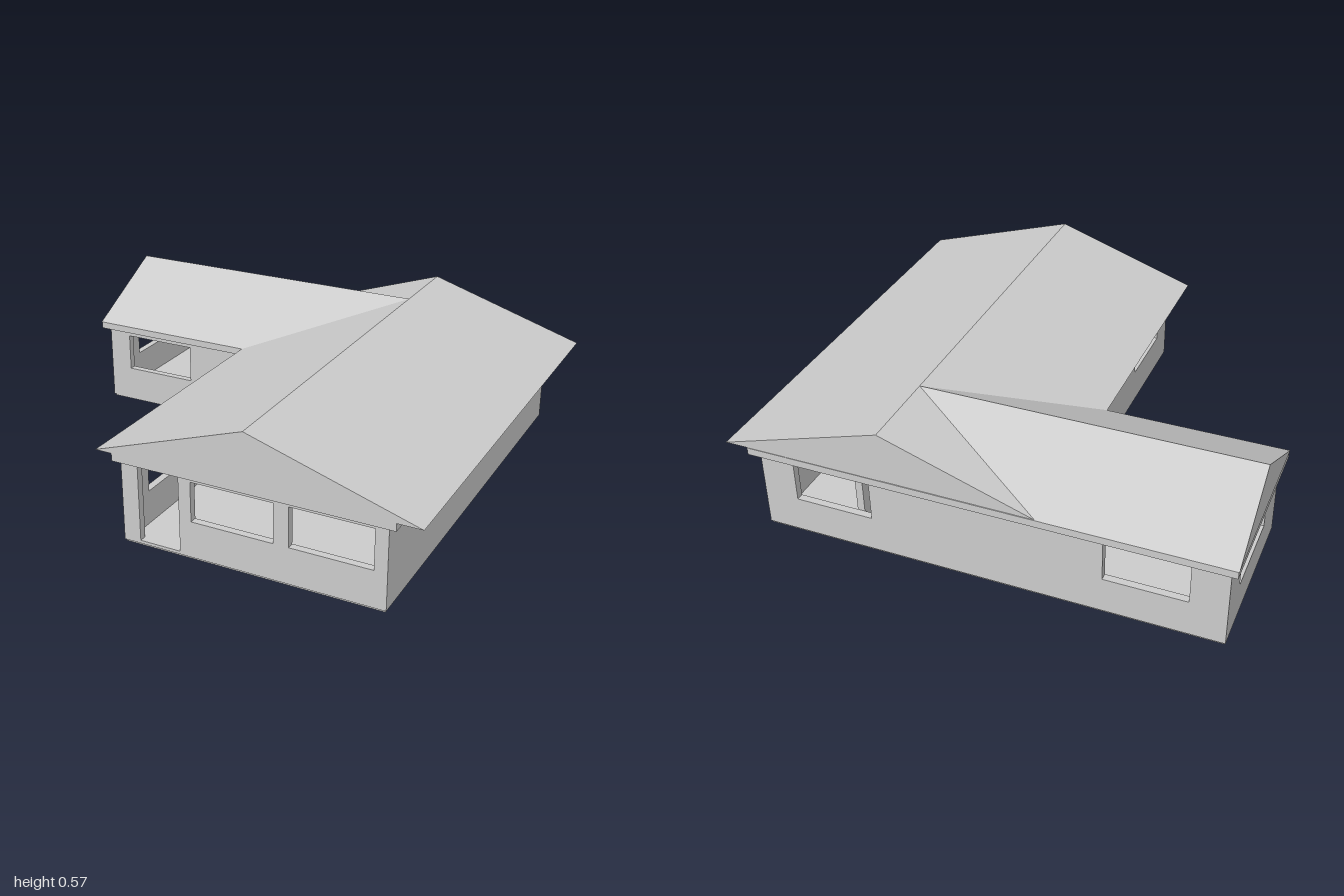
import * as THREE from 'three';

export function createModel() {
  const house = new THREE.Group();
  house.name = 'house';
  const mat = new THREE.MeshStandardMaterial({ color: 0xcccccc, flatShading: true });
  const T = 0.03; // wall thickness
  const FLOOR = 0.02, EAVE = 0.34, ROOF = 0.37, RIDGE = 0.575;

  const add = (name, geometry) => {
    const mesh = new THREE.Mesh(geometry, mat);
    mesh.name = name;
    house.add(mesh);
    return mesh;
  };
  const polygon = (pts) => new THREE.Shape(pts.map(([x, y]) => new THREE.Vector2(x, y)));
  const rect = (a, b, y0, y1) => [[a, y0], [b, y0], [b, y1], [a, y1]];
  const extrude = (shape, depth) => new THREE.ExtrudeGeometry(shape, { depth, bevelEnabled: false });

  // Wall from a to b along x or z, its lower-coordinate face at `at`, with rectangular openings
  function wall(name, axis, a, b, at, openings = []) {
    const shape = polygon(rect(a, b, 0.008, EAVE));
    for (const [h0, h1, y0 = 0.155, y1 = 0.315] of openings) {
      shape.holes.push(polygon(rect(h0, h1, y0, y1)));
    }
    const g = extrude(shape, T);
    if (axis === 'z') g.rotateY(-Math.PI / 2).translate(at + T, 0, 0);
    else g.translate(0, 0, at);
    add(name, g);
  }

  // L-shaped horizontal slab between two heights
  function slab(name, [x0, x1, x2], [z0, z1, z2], y0, y1) {
    const g = extrude(polygon([[x0, -z0], [x0, -z1], [x1, -z1], [x1, -z2], [x2, -z2], [x2, -z0]]), y1 - y0);
    add(name, g.rotateX(-Math.PI / 2).translate(0, y0, 0));
  }

  slab('floor', [-0.965, -0.175, 0.865], [-0.885, -0.215, 0.885], 0, FLOOR);
  slab('ceilingAndFascia', [-0.998, -0.2, 0.905], [-0.92, -0.185, 0.918], EAVE, ROOF);

  // Outer walls
  wall('frontWall', 'x', -0.18, 0.87, 0.86, [[-0.11, 0.06, FLOOR, 0.338], [0.11, 0.44], [0.5, 0.82]]);
  wall('backWall', 'x', -0.97, 0.87, -0.89, [[-0.83, -0.51], [0.41, 0.73]]);
  wall('wingFrontWall', 'x', -0.97, -0.18, -0.24, [[-0.87, -0.55]]);
  wall('leftWall', 'z', -0.86, 0.86, 0.84, [[-0.69, -0.36], [-0.1, 0.22]]);
  wall('rightWall', 'z', -0.24, 0.86, -0.18, [[0.44, 0.76]]);
  wall('wingEndWall', 'z', -0.86, -0.24, -0.97, [[-0.74, -0.39]]);

  // Inner partitions
  wall('crossPartition', 'x', 0.245, 0.84, -0.25);
  wall('longPartition', 'z', -0.86, 0.04, 0.455);
  wall('wingPartition', 'z', -0.55, -0.24, -0.18);

  // Main gable roof, running front to back
  const mainRoof = polygon([[-0.27, ROOF], [1, ROOF], [0.34, RIDGE]]);
  add('mainRoof', extrude(mainRoof, 1.836).translate(0, 0, -0.918));

  // Wing gable roof, running sideways into the main roof
  const wingRoof = polygon([[-0.92, ROOF], [-0.183, ROOF], [-0.575, RIDGE]]);
  add('wingRoof', extrude(wingRoof, 1.34).rotateY(-Math.PI / 2).translate(0.34, 0, 0));

  return house;
}
